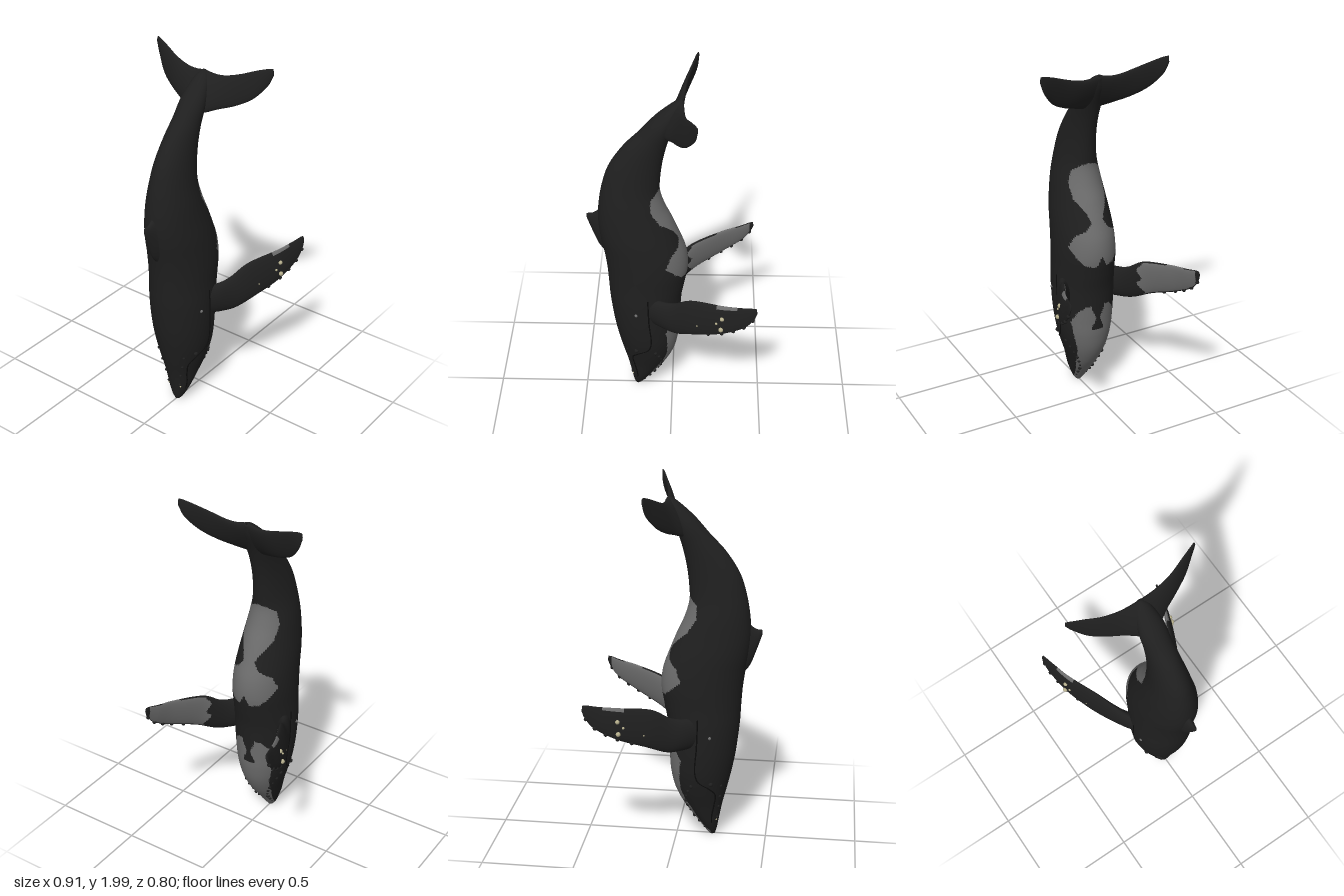
import * as THREE from 'three';

const V = (x, y, z) => new THREE.Vector3(x, y, z);
const mat = (name, color) => Object.assign(new THREE.MeshStandardMaterial({ color }), { name });

// Linear lookup in rows of [key, value, ...]
function lookup(rows, key, col = 1) {
  if (key <= rows[0][0]) return rows[0][col];
  for (let i = 1; i < rows.length; i++) {
    if (key <= rows[i][0]) {
      const t = (key - rows[i - 1][0]) / (rows[i][0] - rows[i - 1][0]);
      return rows[i - 1][col] + t * (rows[i][col] - rows[i - 1][col]);
    }
  }
  return rows[rows.length - 1][col];
}

// Smooth closed skin over elliptical sections {p: centre, a, b: half axes}.
// isPale(point, angle) sorts each triangle into material group 0 or 1.
function loft(sections, rings, sides, isPale = () => false) {
  const [P, A, B] = ['p', 'a', 'b'].map(
    (k) => new THREE.CatmullRomCurve3(sections.map((s) => s[k]), false, 'catmullrom', 0.5));
  const pos = [], pts = [];
  for (let i = -1; i <= rings + 1; i++) {
    const t = Math.min(1, Math.max(0, i / rings));
    const size = i < 0 || i > rings ? 0 : 1;
    const p = P.getPoint(t), a = A.getPoint(t), b = B.getPoint(t);
    for (let j = 0; j < sides; j++) {
      const th = (j / sides) * Math.PI * 2;
      const q = p.clone().addScaledVector(a, size * Math.cos(th)).addScaledVector(b, size * Math.sin(th));
      pts.push(q);
      pos.push(q.x, q.y, q.z);
    }
  }
  const flip = A.getPoint(0.5).cross(B.getPoint(0.5)).dot(P.getTangent(0.5)) < 0;
  const dark = [], pale = [];
  const tri = (a, b, c, th) => {
    const mid = pts[a].clone().add(pts[b]).add(pts[c]).divideScalar(3);
    (isPale(mid, th) ? pale : dark).push(a, ...(flip ? [c, b] : [b, c]));
  };
  for (let i = 0; i < rings + 2; i++) {
    for (let j = 0; j < sides; j++) {
      const k = (j + 1) % sides, th = ((j + 0.5) / sides) * Math.PI * 2;
      const a = i * sides + j, b = i * sides + k, c = b + sides, d = a + sides;
      tri(a, b, c, th);
      tri(a, c, d, th);
    }
  }
  const g = new THREE.BufferGeometry();
  g.setAttribute('position', new THREE.Float32BufferAttribute(pos, 3));
  g.setIndex([...dark, ...pale]);
  g.addGroup(0, dark.length, 0);
  g.addGroup(dark.length, pale.length, 1);
  g.computeVertexNormals();
  return g;
}

// Fin sections from [leading edge, trailing edge, thickness]; b points along `facing`
function finSections(rows, facing) {
  const mids = rows.map(([l, t]) => l.clone().add(t).multiplyScalar(0.5));
  return rows.map(([l, t, thick], i) => {
    const a = t.clone().sub(l).multiplyScalar(0.5);
    const span = mids[Math.min(i + 1, mids.length - 1)].clone().sub(mids[Math.max(i - 1, 0)]);
    const b = span.cross(a).normalize();
    if (b.dot(facing) < 0) b.negate();
    return { p: mids[i], a, b: b.multiplyScalar(thick / 2) };
  });
}

// Body stations: back x, back y, belly x, belly y, half width
const BODY = [
  [-0.215, 0.006, -0.185, 0.004, 0.014], [-0.225, 0.04, -0.165, 0.03, 0.036],
  [-0.236, 0.1, -0.115, 0.1, 0.064], [-0.255, 0.2, -0.04, 0.2, 0.093], [-0.28, 0.3, 0.01, 0.3, 0.125],
  [-0.303, 0.4, 0.033, 0.4, 0.15], [-0.322, 0.5, 0.04, 0.5, 0.163], [-0.335, 0.6, 0.045, 0.6, 0.169],
  [-0.345, 0.7, 0.052, 0.7, 0.17], [-0.35, 0.8, 0.07, 0.8, 0.167], [-0.357, 0.9, 0.085, 0.9, 0.166],
  [-0.37, 1.0, 0.075, 1.0, 0.162], [-0.388, 1.1, 0.04, 1.1, 0.154], [-0.396, 1.2, 0.0, 1.2, 0.14],
  [-0.388, 1.31, -0.04, 1.29, 0.125], [-0.368, 1.42, -0.065, 1.38, 0.106], [-0.33, 1.535, -0.064, 1.46, 0.091],
  [-0.255, 1.65, -0.052, 1.56, 0.078], [-0.175, 1.735, -0.03, 1.66, 0.071], [-0.09, 1.83, 0.0, 1.75, 0.068],
  [0.0, 1.908, 0.045, 1.85, 0.045], [0.045, 1.932, 0.06, 1.915, 0.014],
];

// Half width of the pale belly markings by height
const MARKS = [
  [0, 0.03], [0.1, 0.05], [0.2, 0.075], [0.3, 0.09], [0.4, 0.115], [0.5, 0.132], [0.56, 0.108], [0.6, 0.07],
  [0.61, 0], [0.86, 0], [0.865, 0.08], [0.9, 0.115], [0.96, 0.145], [1.03, 0.12], [1.07, 0.06], [1.11, 0.035],
  [1.15, 0.05], [1.22, 0.095], [1.3, 0.1], [1.37, 0.08], [1.4, 0.04], [1.41, 0],
];
function bellyMark(p, th) {
  const z = Math.abs(p.z);
  if (Math.cos(th) < 0.1 || z > lookup(MARKS, p.y)) return false;
  if (p.y > 0.45 && p.y < 0.65 && z < 0.025 + 0.012 * Math.sin(p.y * 45)) return false;
  return !(p.y > 0.85 && p.y < 0.92 && z < (0.92 - p.y) * 0.5);
}

// Point on the flank at (x, y) for the lower, upright part of the body
const BY_HEIGHT = BODY.slice(0, 14).map(([bx, by, fx, , w]) => [by, bx, fx, w]);
function flank(x, y, side) {
  const back = lookup(BY_HEIGHT, y, 1), belly = lookup(BY_HEIGHT, y, 2), w = lookup(BY_HEIGHT, y, 3);
  const u = (2 * x - back - belly) / (belly - back);
  return V(x, y, side * w * Math.sqrt(Math.max(0, 1 - u * u)));
}

export function createModel() {
  const whale = new THREE.Group();
  whale.name = 'divingWhale';
  const skin = mat('dark skin', 0x1f1f1f);
  const pale = mat('pale grey markings', 0x6c6c6c);
  const line = mat('mouth black', 0x0d0d0d);
  const shell = mat('barnacle cream', 0xb5ae8c);
  const add = (name, geo, material) => {
    const m = new THREE.Mesh(geo, material);
    m.name = name;
    whale.add(m);
    return m;
  };
  const ball = new THREE.SphereGeometry(1, 12, 8);
  const bump = (name, p, r, material) => {
    const m = add(name, ball, material);
    m.position.copy(p);
    m.scale.setScalar(r);
  };

  // Body with painted belly
  const sections = BODY.map(([bx, by, fx, fy, w]) => ({
    p: V((bx + fx) / 2, (by + fy) / 2, 0), a: V((fx - bx) / 2, (fy - by) / 2, 0), b: V(0, 0, w),
  }));
  add('body', loft(sections, 210, 112, bellyMark), [skin, pale]);

  // Dorsal fin
  const dorsal = [
    [V(-0.36, 0.98, 0), V(-0.36, 1.29, 0), 0.09], [V(-0.395, 1.03, 0), V(-0.395, 1.25, 0), 0.06],
    [V(-0.425, 1.11, 0), V(-0.425, 1.23, 0), 0.038], [V(-0.447, 1.175, 0), V(-0.447, 1.228, 0), 0.022],
    [V(-0.455, 1.2, 0), V(-0.455, 1.225, 0), 0.01],
  ];
  add('dorsalFin', loft(finSections(dorsal, V(0, 0, 1)), 20, 24), [skin, skin]);

  for (const s of [1, -1]) {
    const side = s > 0 ? 'left' : 'right';

    // Tail fluke
    const fluke = [
      [V(-0.06, 1.72, 0), V(0.05, 1.928, 0), 0.06], [V(-0.035, 1.735, s * 0.06), V(0.055, 1.918, s * 0.06), 0.052],
      [V(0.0, 1.757, s * 0.12), V(0.06, 1.922, s * 0.12), 0.042],
      [V(0.035, 1.785, s * 0.2), V(0.072, 1.945, s * 0.2), 0.032],
      [V(0.072, 1.83, s * 0.28), V(0.097, 1.975, s * 0.28), 0.024],
      [V(0.112, 1.9, s * 0.34), V(0.115, 1.994, s * 0.34), 0.018],
      [V(0.124, 1.96, s * 0.367), V(0.124, 1.998, s * 0.364), 0.01],
    ];
    add(side + 'Fluke', loft(finSections(fluke, V(1, 0, 0)), 40, 28), [skin, skin]);

    // Flipper: dark outside, pale inner face
    const flipper = [
      [V(-0.11, 0.585, s * 0.12), V(-0.125, 0.76, s * 0.12), 0.09],
      [V(-0.04, 0.582, s * 0.175), V(-0.06, 0.76, s * 0.165), 0.075],
      [V(0.03, 0.592, s * 0.23), V(0.015, 0.78, s * 0.2), 0.055],
      [V(0.13, 0.645, s * 0.295), V(0.11, 0.842, s * 0.25), 0.042],
      [V(0.27, 0.705, s * 0.355), V(0.27, 0.873, s * 0.325), 0.032],
      [V(0.385, 0.772, s * 0.382), V(0.37, 0.888, s * 0.357), 0.022],
      [V(0.435, 0.832, s * 0.388), V(0.425, 0.9, s * 0.374), 0.016],
      [V(0.452, 0.872, s * 0.386), V(0.447, 0.902, s * 0.38), 0.01],
    ];
    const innerFace = (p, th) => {
      const wave = 0.012 * Math.sin(p.y * 70);
      const edge = p.x > 0.24 && p.x < 0.35 && Math.cos(th) > 0.8;
      return edge || (p.x > 0.09 + wave && p.x < 0.43 && Math.sin(th) > 0.3 && Math.cos(th) > -0.92);
    };
    add(side + 'Flipper', loft(finSections(flipper, V(1, 0.3, -s)), 90, 56, innerFace), [skin, pale]);

    // Knobs on the leading edge and barnacles on the outer face of the flipper
    for (const [x, y, z] of [[0.2, 0.678, 0.327], [0.27, 0.708, 0.355], [0.33, 0.738, 0.37], [0.385, 0.775, 0.382], [0.43, 0.828, 0.387]])
      bump(side + 'FlipperKnob', V(x, y, s * z), 0.011, skin);
    for (const [x, y, z, r] of [[0.27, 0.805, 0.354, 0.012], [0.265, 0.74, 0.364, 0.013], [0.24, 0.77, 0.349, 0.007], [0.14, 0.715, 0.304, 0.007]])
      bump(side + 'Barnacle', V(x, y, s * z), r, shell);

    // Mouth line curving up to the eye
    const mouth = [[-0.2, 0.03], [-0.2, 0.13], [-0.215, 0.22], [-0.222, 0.29], [-0.19, 0.335], [-0.13, 0.385], [-0.115, 0.44], [-0.125, 0.6], [-0.13, 0.76]];
    const path = new THREE.CatmullRomCurve3(mouth.map(([x, y]) => flank(x, y, s)));
    add(side + 'MouthLine', new THREE.TubeGeometry(path, 64, 0.004, 6), line);
    bump(side + 'Eye', flank(-0.195, 0.655, s), 0.009, pale);

    // Tubercles along the jaw and snout
    for (let i = 0; i < 9; i++) {
      const y = 0.06 + i * 0.036;
      bump(side + 'JawKnob', flank(-0.16 + 0.1 * Math.sin(i * 0.3), y, s), 0.007 + 0.002 * (i % 3), skin);
      if (i % 2) bump(side + 'SnoutKnob', flank(-0.225 - 0.004 * i, y + 0.03, s), 0.008, skin);
    }
    bump(side + 'SnoutBarnacle', flank(-0.225, 0.11, s), 0.005, shell);
    bump(side + 'CheekKnob', flank(-0.2, 0.365, s), 0.013, skin);
  }
  return whale;
}
